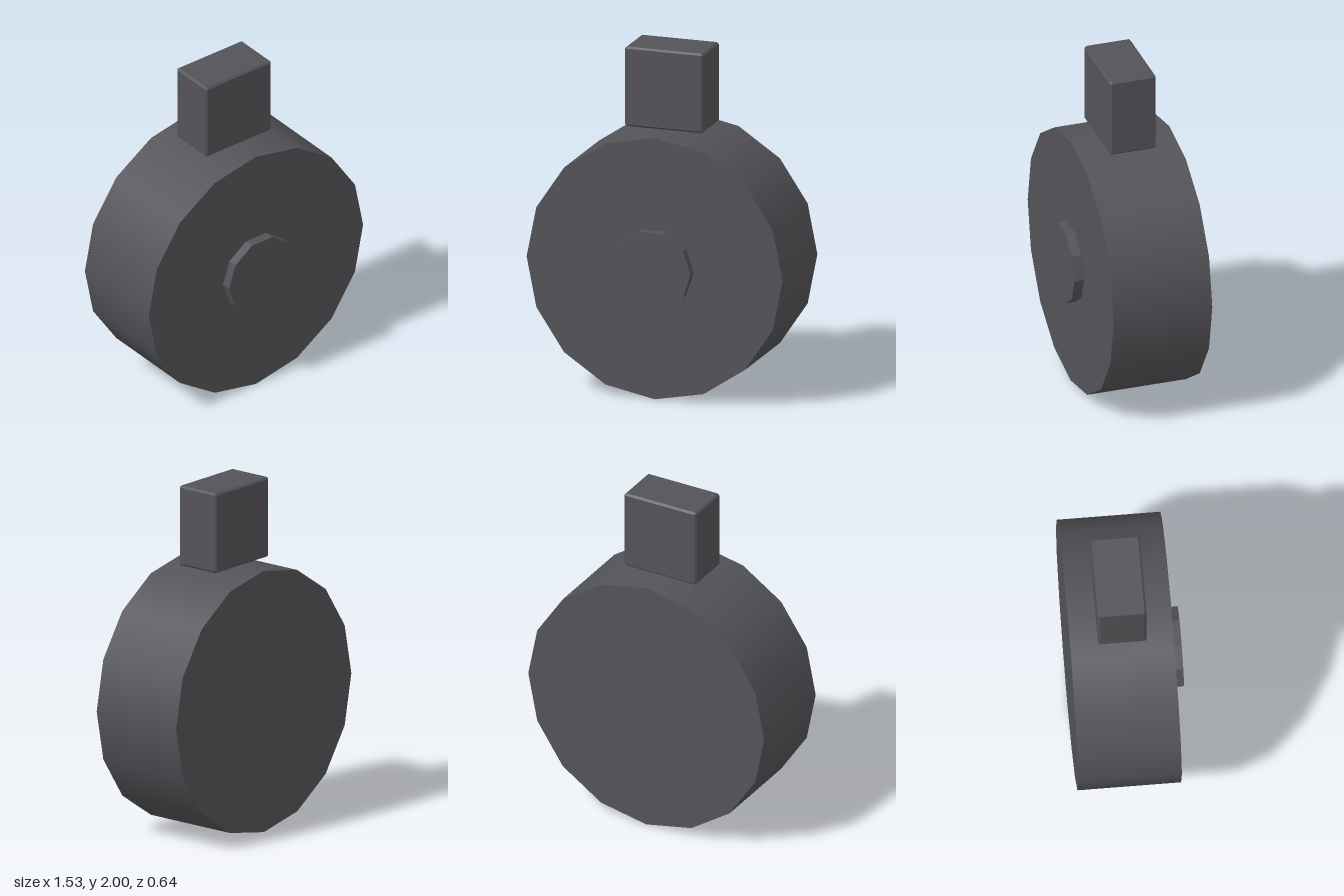
import * as THREE from 'three';
import { ConvexGeometry } from 'three/addons/geometries/ConvexGeometry.js';

const darkMetal = new THREE.MeshStandardMaterial({ color: 0x545358 });
darkMetal.name = 'darkMetal';
const CENTER_Y = 0.767;

// Disc lying along z, with a corner on the vertical (turn = 0)
function disc(name, radius, sides, z0, z1, turn = 0) {
  const geometry = new THREE.CylinderGeometry(radius, radius, z1 - z0, sides, 1, false, turn);
  geometry.rotateX(Math.PI / 2);
  const mesh = new THREE.Mesh(geometry, darkMetal);
  mesh.name = name;
  mesh.position.set(0, CENTER_Y, (z0 + z1) / 2);
  return mesh;
}

// Box with every edge cut at 45 degrees
function chamferedBox(w, h, d, c) {
  const points = [];
  for (const x of [-1, 1]) for (const y of [-1, 1]) for (const z of [-1, 1]) {
    for (let face = 0; face < 3; face++) {
      points.push(new THREE.Vector3(
        x * (w / 2 - (face === 0 ? 0 : c)),
        y * (h / 2 - (face === 1 ? 0 : c)),
        z * (d / 2 - (face === 2 ? 0 : c))
      ));
    }
  }
  return new ConvexGeometry(points);
}

export function createModel() {
  const group = new THREE.Group();
  group.name = 'drumMagazine';

  // Wide drum with a smooth rim
  group.add(disc('drum', 0.763, 16, -0.32, 0.264));

  // Faceted hub on the front, with corners on the horizontal
  const hub = disc('frontHub', 0.234, 10, 0.255, 0.32, Math.PI / 2);
  hub.geometry = hub.geometry.toNonIndexed();
  hub.geometry.computeVertexNormals();
  group.add(hub);

  // Feed block standing on the drum
  const block = new THREE.Mesh(chamferedBox(0.468, 0.465, 0.274, 0.011), darkMetal);
  block.name = 'feedBlock';
  block.position.set(0, 1.7675, -0.028);
  group.add(block);

  return group;
}
